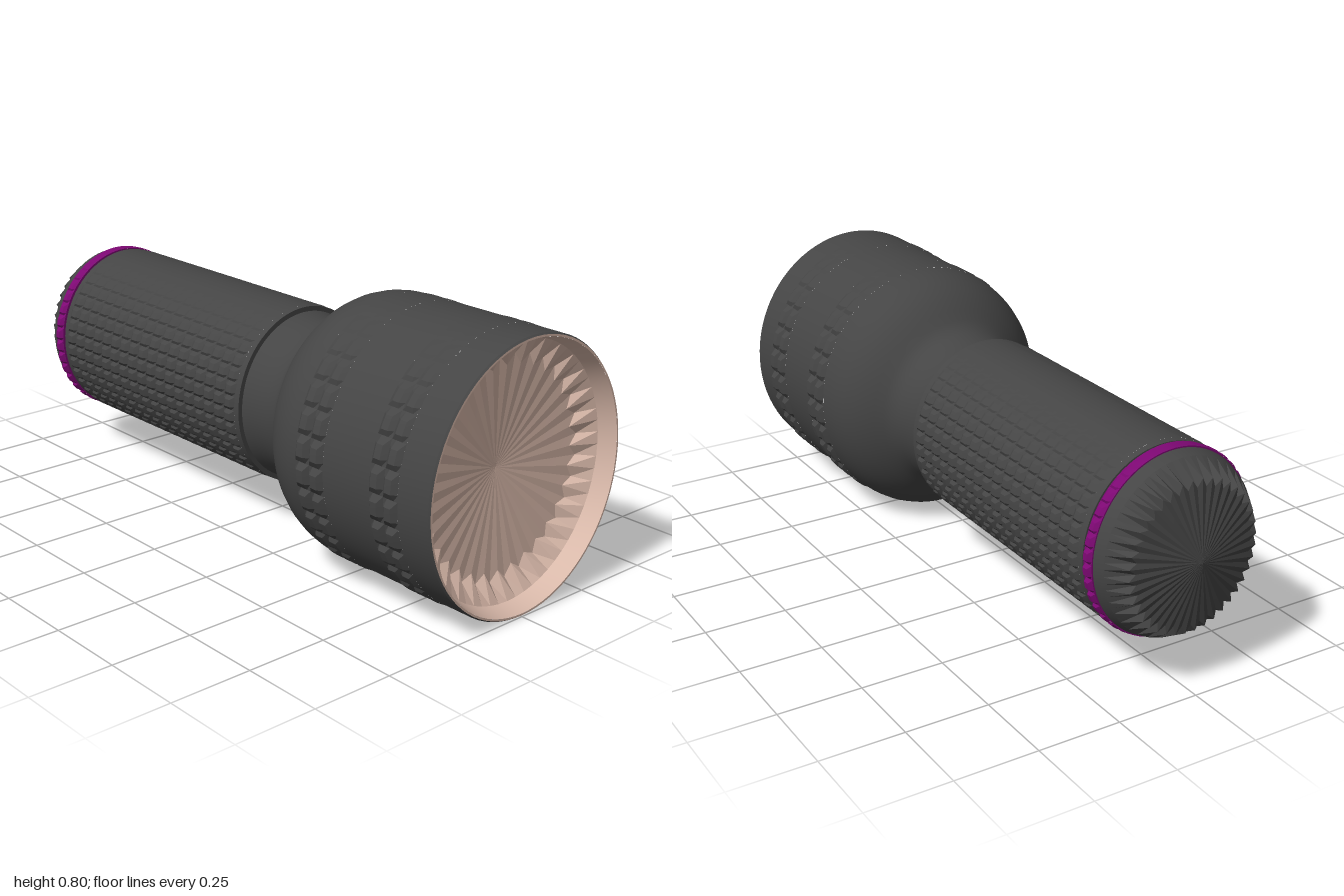
import * as THREE from 'three';
import { toCreasedNormals } from 'three/addons/utils/BufferGeometryUtils.js';

const black = new THREE.MeshStandardMaterial({ color: 0x454545 });
black.name = 'dark grey rubber';
const purple = new THREE.MeshStandardMaterial({ color: 0x7d0873 });
purple.name = 'purple ring';
const peach = new THREE.MeshStandardMaterial({ color: 0xd9b9aa });
peach.name = 'peach reflector';

const SQUASH = 0.93; // the body is slightly narrower than tall

// Revolves [radius, z] points (back to front) about the z axis.
// deform(column, row) returns { x, r } factors for sideways and radial change.
function revolve(name, material, profile, segments, crease, deform) {
  const points = profile.map(([r, z]) => new THREE.Vector2(r, z));
  let geo = new THREE.LatheGeometry(points, segments);
  const pos = geo.attributes.position;
  for (let i = 0; i <= segments; i++) {
    for (let j = 0; j < points.length; j++) {
      const k = i * points.length + j;
      const { x = 1, r = 1 } = deform ? deform(i, j) : {};
      pos.setX(k, pos.getX(k) * x * r);
      pos.setZ(k, pos.getZ(k) * r);
    }
  }
  geo.rotateX(Math.PI / 2);
  geo.scale(SQUASH, 1, 1);
  geo = toCreasedNormals(geo, crease);
  const mesh = new THREE.Mesh(geo, material);
  mesh.name = name;
  mesh.position.y = 0.4;
  return mesh;
}

// Band of raised studs that fade out towards the top and bottom
function studs(name, material, radius, z0, z1, rows, columns, rise) {
  const profile = [];
  const pitch = (z1 - z0) / rows;
  for (let n = 0; n < rows; n++) {
    for (const f of [0, 0.28, 0.72]) profile.push([radius, z0 + (n + f) * pitch]);
  }
  profile.push([radius, z1]);
  return revolve(name, material, profile, columns * 4, 0.2, (i, j) => ({
    x: j % 3 !== 0 && i % 4 !== 0 ? 1 + rise : 1,
  }));
}

export function createModel() {
  const model = new THREE.Group();
  model.name = 'flashlight';

  // Tail cap: shallow cone with a pleated edge
  model.add(revolve('tailCap', black,
    [[0, -1], [0.2, -0.962], [0.262, -0.9], [0.272, -0.868], [0.272, -0.862]], 80, 0.25,
    (i, j) => ({ r: j === 1 && i % 2 ? 1.12 : 1 })));

  // Purple ring, with the collars it sits between
  model.add(revolve('ringGroove', black, [[0.265, -0.875], [0.268, -0.82], [0.274, -0.82], [0.275, -0.8]], 80, 0.4));
  model.add(revolve('ringSides', purple, [[0.26, -0.865], [0.276, -0.865]], 80, 0.4));
  model.add(studs('purpleRing', purple, 0.276, -0.865, -0.828, 1, 40, 0.04));
  model.add(revolve('ringFront', purple, [[0.276, -0.828], [0.26, -0.828]], 80, 0.4));

  // Studded grip and its front shoulder
  model.add(studs('grip', black, 0.275, -0.8, 0.08, 18, 40, 0.036));
  model.add(revolve('gripShoulder', black, [[0.275, 0.08], [0.275, 0.1], [0.255, 0.1]], 80, 0.4));

  // Neck flaring into the head
  model.add(revolve('neck', black, [
    [0.26, 0.1], [0.254, 0.125], [0.25, 0.16], [0.251, 0.2], [0.256, 0.235], [0.266, 0.26],
    [0.285, 0.28], [0.31, 0.299], [0.34, 0.328], [0.362, 0.355], [0.38, 0.388],
    [0.392, 0.423], [0.398, 0.455], [0.4, 0.49],
  ], 80, 0.6));

  // Head barrel with two studded bands
  const bands = [[0.49, 0.6], [0.78, 0.885]];
  bands.forEach(([a, b], n) => model.add(studs('headBand' + (n + 1), black, 0.4, a, b, 2, 32, 0.035)));
  model.add(revolve('headMiddle', black, [[0.4, 0.6], [0.4, 0.78]], 80, 0.6));
  model.add(revolve('headFront', black, [[0.4, 0.885], [0.4, 0.994], [0.396, 1]], 80, 0.4));

  // Front rim, inner wall and pleated reflector dish
  model.add(revolve('frontRim', peach, [[0.396, 1], [0.39, 1]], 80, 0.4));
  model.add(revolve('innerWall', peach, [[0.39, 1], [0.374, 0.945]], 64, 0.4));
  model.add(revolve('reflector', peach, [[0.374, 0.945], [0.295, 0.905], [0, 0.88]], 64, 0.1,
    (i, j) => ({ r: j === 1 && i % 2 ? 1.1 : 1 })));

  return model;
}
